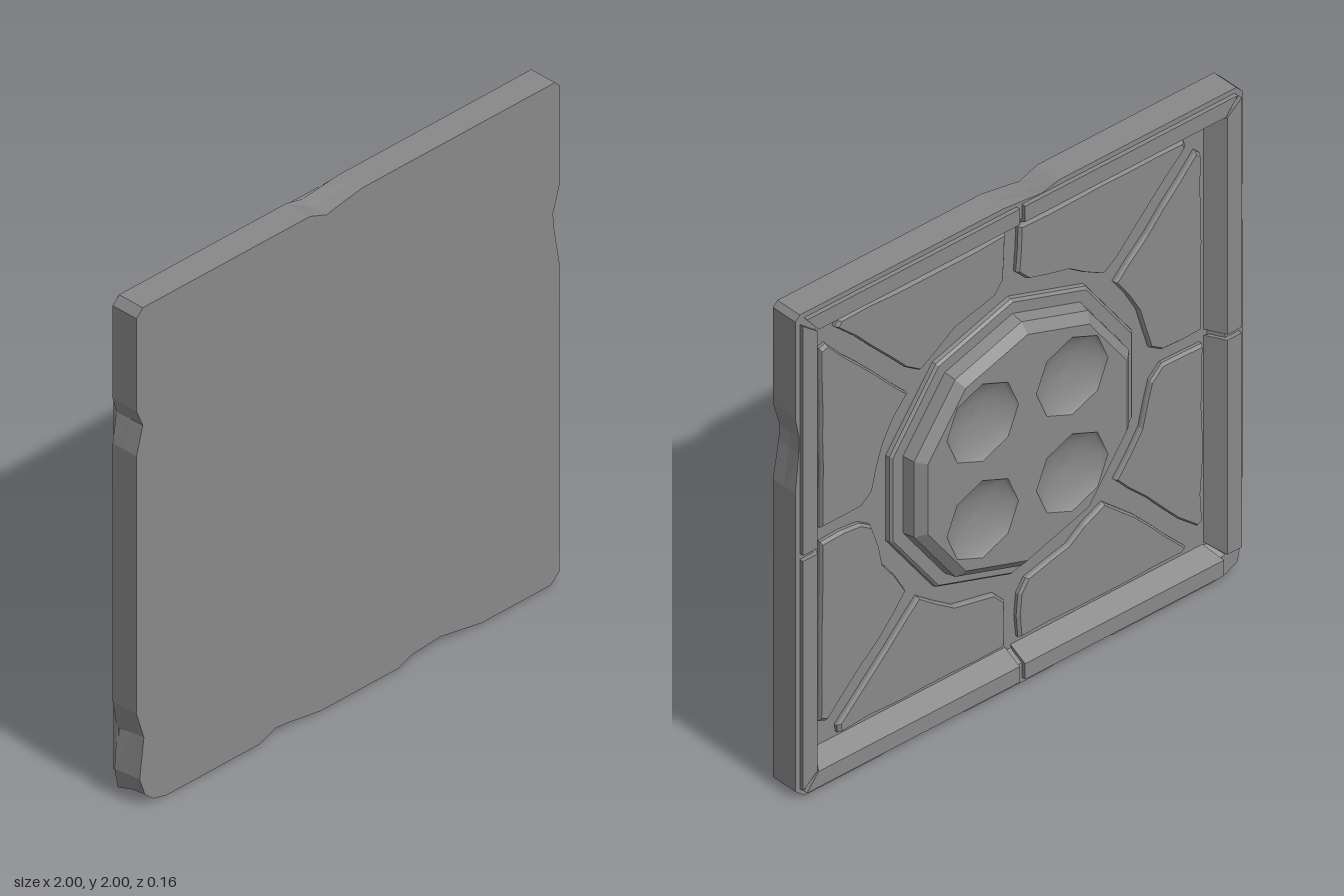
import * as THREE from 'three';

const stone = new THREE.MeshStandardMaterial({ color: 0x888888 });
stone.name = 'grey stone';

// Small seeded random for worn edges
let seed = 7;
const rand = () => ((seed = (seed * 16807) % 2147483647) / 2147483647) - 0.5;

// Quarter turns in the slab plane
function turn([x, y, z], k) {
  for (let i = 0; i < k; i++) [x, y] = [-y, x];
  return [x, y, z];
}

// Faceted skin over matching rings, closed with a fan at both ends
function loft(rings) {
  const centre = r => {
    const c = [0, 1, 2].map(j => r.reduce((s, p) => s + p[j], 0) / r.length);
    return r.map(() => c);
  };
  const all = [centre(rings[0]), ...rings, centre(rings[rings.length - 1])];
  const pos = [];
  for (let r = 0; r < all.length - 1; r++) {
    const a = all[r], b = all[r + 1], n = a.length;
    for (let i = 0; i < n; i++) {
      const j = (i + 1) % n;
      if (r < all.length - 2) pos.push(...a[i], ...b[i], ...b[j]);
      if (r > 0) pos.push(...a[i], ...b[j], ...a[j]);
    }
  }
  const g = new THREE.BufferGeometry();
  g.setAttribute('position', new THREE.Float32BufferAttribute(pos, 3));
  g.computeVertexNormals();
  return g;
}

export function createModel() {
  const model = new THREE.Group();
  model.name = 'stoneTile';
  const face = new THREE.Group(); // everything centred on the slab middle
  face.name = 'tile';
  face.position.y = 1;
  model.add(face);
  const add = (name, geometry) => {
    const m = new THREE.Mesh(geometry, stone);
    m.name = name;
    face.add(m);
    return m;
  };

  // Slab outline with chipped edges and a worn lower corner
  const outline = [
    [-0.86, 0], [-0.42, 0], [-0.34, 0.03], [-0.27, 0.022], [-0.13, 0], [0.24, 0],
    [0.3, 0.025], [0.44, 0.035], [0.63, 0], [0.96, 0], [1, 0.035], [1, 1.27],
    [0.975, 1.42], [0.97, 1.48], [1, 1.58], [1, 1.98], [0.98, 2], [0.07, 2],
    [-0.05, 1.98], [-0.1, 1.97], [-0.18, 2], [-0.97, 2], [-1, 1.97], [-1, 1.6],
    [-0.97, 1.53], [-1, 1.42], [-1, 0.39], [-0.965, 0.28], [-0.985, 0.12],
    [-0.96, 0.05], [-0.92, 0.015],
  ].map(([x, y]) => [x, y - 1]);
  const reach = p => Math.max(Math.abs(p[0]), Math.abs(p[1]));
  const ring = (z, size) => outline.map(p => {
    const f = size(reach(p)) / reach(p);
    return [p[0] * f, p[1] * f, z];
  });

  // Slab: solid front, shallow tray at the back
  add('slab', loft([
    ring(0.075, r => r),
    ring(0.02, r => 1 - (1 - r) * 0.9),
    ring(-0.038, r => 1 - (1 - r) * 0.6),
    ring(-0.038, () => 0.92),
    ring(0.02, () => 0.89),
  ]));

  // Bevelled rim: two mitred lengths per side with a joint between them
  const profile = [[0.98, -0.03], [0.98, -0.055], [0.915, -0.055], [0.875, 0.021]];
  for (let k = 0; k < 4; k++) {
    for (const s of [-1, 1]) {
      const worn = (k === 1 && s < 0) || (k === 2 && s > 0);
      const limit = worn ? 0.9 : 0.962;
      const inner = profile.map(([v, z]) => [s * 0.012, v, z]);
      const outer = profile.map(([v, z]) => [s * Math.min(v - 0.005, limit), v, z]);
      const ends = s > 0 ? [inner, outer] : [outer, inner];
      add('rim', loft(ends.map(e => e.map(p => turn(p, k)))));
    }
  }

  // Eight paving panels around the centre, with uneven edges
  const panel = [[0.03, 0.85], [0.03, 0.67], [0.07, 0.62], [0.25, 0.575], [0.41, 0.47],
    [0.47, 0.52], [0.78, 0.83], [0.77, 0.85]];
  for (let k = 0; k < 4; k++) {
    for (const s of [1, -1]) {
      const pts = [];
      panel.forEach((p, i) => {
        const q = panel[(i + 1) % panel.length];
        const steps = Math.ceil(Math.hypot(q[0] - p[0], q[1] - p[1]) / 0.13);
        for (let t = 0; t < steps; t++) {
          const x = p[0] + (q[0] - p[0]) * t / steps + rand() * 0.012;
          const y = p[1] + (q[1] - p[1]) * t / steps + rand() * 0.012;
          pts.push([s * x, y]);
        }
      });
      if (s < 0) pts.reverse();
      const c = [s * 0.36, 0.7];
      const level = (z, f) => pts.map(([x, y]) =>
        turn([c[0] + (x - c[0]) * f, c[1] + (y - c[1]) * f, z], k));
      add('panel', loft([level(0.03, 1), level(0.008, 1), level(-0.002, 0.97)]));
    }
  }

  // Ten-sided boss on a low step
  const polygon = (n, r, z = 0, start = Math.PI / 2) => Array.from({ length: n }, (_, i) => {
    const a = start + i * 2 * Math.PI / n;
    return [r * Math.cos(a), r * Math.sin(a), z];
  });
  add('bossStep', loft([polygon(10, 0.575, 0.03), polygon(10, 0.57, 0.005), polygon(10, 0.56, -0.004)]));
  const wall = [[0.515, 0], [0.505, -0.05], [0.468, -0.08]].map(([r, z]) => polygon(10, r, z));
  const wallPos = [];
  for (let r = 0; r < 2; r++) {
    for (let i = 0; i < 10; i++) {
      const j = (i + 1) % 10, a = wall[r], b = wall[r + 1];
      wallPos.push(...a[i], ...b[i], ...b[j], ...a[i], ...b[j], ...a[j]);
    }
  }
  const wallGeo = new THREE.BufferGeometry();
  wallGeo.setAttribute('position', new THREE.Float32BufferAttribute(wallPos, 3));
  wallGeo.computeVertexNormals();
  add('bossWall', wallGeo);

  // Boss top pierced by four round hollows
  const path = (pts, cx = 0, cy = 0) => pts.map(([x, y]) => new THREE.Vector2(x + cx, y + cy));
  const top = new THREE.Shape(path(polygon(10, 0.468)));
  const bowl = new THREE.LatheGeometry(
    [[0.16, 0], [0.15, -0.012], [0.11, -0.032], [0.06, -0.045], [0, -0.05]]
      .map(([x, y]) => new THREE.Vector2(x, y)), 8);
  bowl.rotateX(-Math.PI / 2);
  for (const x of [-0.2, 0.2]) {
    for (const y of [-0.2, 0.2]) {
      top.holes.push(new THREE.Path(path(polygon(8, 0.16), x, y)));
      add('hollow', bowl).position.set(x, y, -0.08);
    }
  }
  const topGeo = new THREE.ShapeGeometry(top);
  topGeo.rotateY(Math.PI);
  add('bossTop', topGeo).position.z = -0.08;

  return model;
}
